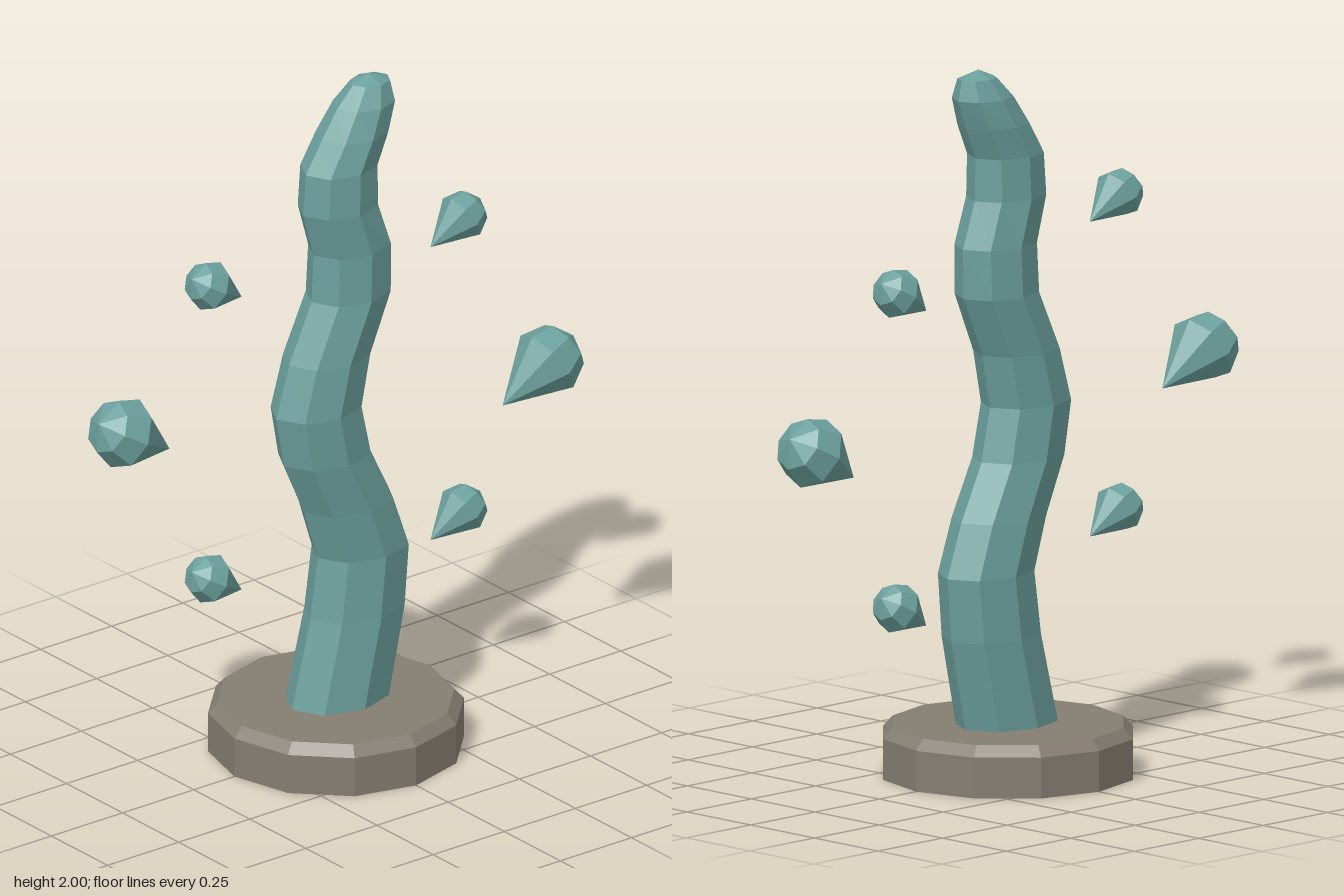
import * as THREE from 'three';

const teal = new THREE.MeshStandardMaterial({ name: 'teal', color: 0x6b9f9c, flatShading: true });
const stone = new THREE.MeshStandardMaterial({ name: 'stone', color: 0x857d72, flatShading: true });

// Faceted solid of revolution from [radius, height] pairs, bottom to top
const lathe = (pairs, sides) =>
  new THREE.LatheGeometry(pairs.map(([r, y]) => new THREE.Vector2(r, y)), sides);

function addMesh(parent, name, geometry, material) {
  const mesh = new THREE.Mesh(geometry, material);
  mesh.name = name;
  parent.add(mesh);
  return mesh;
}

// Winding stem: horizontal oval rings [height, centre x, half width, half depth]
function stemGeometry() {
  const rings = [
    [0.1, -0.005, 0.16, 0.122],
    [0.145, 0.005, 0.16, 0.122],
    [0.4, 0.065, 0.155, 0.119],
    [0.58, 0.085, 0.15, 0.116],
    [0.73, 0.035, 0.147, 0.114],
    [0.89, -0.04, 0.143, 0.111],
    [1.04, -0.07, 0.14, 0.109],
    [1.19, -0.033, 0.132, 0.107],
    [1.36, 0.043, 0.129, 0.104],
    [1.5, 0.048, 0.127, 0.101],
    [1.63, 0.007, 0.122, 0.099],
    [1.75, 0.01, 0.116, 0.096],
    [1.84, 0.057, 0.107, 0.092],
    [1.92, 0.098, 0.094, 0.077],
    [1.977, 0.12, 0.06, 0.049],
    [2.0, 0.115, 0, 0],
  ];
  const geo = lathe(rings.map((r, i) => [r[2] ? 1 : 0, i]), 8);
  const pos = geo.attributes.position;
  for (let i = 0; i < pos.count; i++) {
    const [y, cx, rx, rz] = rings[Math.round(pos.getY(i))];
    pos.setXYZ(i, cx + pos.getX(i) * rx, y, pos.getZ(i) * rz);
  }
  geo.computeVertexNormals();
  return geo;
}

export function createModel() {
  const model = new THREE.Group();
  model.name = 'windingStemWithDroplets';

  // Twelve-sided plinth with a bevelled rim
  addMesh(model, 'base',
    lathe([[0, 0], [0.357, 0], [0.357, 0.115], [0.33, 0.145], [0, 0.145]], 12), stone);

  addMesh(model, 'stem', stemGeometry(), teal);

  // Floating droplets, their points aimed down and inwards
  const drop = lathe([[0, 0], [0.102, 0.18], [0.076, 0.25], [0, 0.287]], 8);
  const spots = [
    // tip distance, tip height, depth, scale
    [0.53, 0.9, 0.07, 1],
    [0.387, 1.37, -0.07, 0.7],
    [0.387, 0.483, -0.07, 0.7],
  ];
  for (const side of [1, -1]) {
    for (const [x, y, z, scale] of spots) {
      const mesh = addMesh(model, side > 0 ? 'leftDroplet' : 'rightDroplet', drop, teal);
      mesh.position.set(side * x, y + (side < 0 ? 0.117 : 0), side * z);
      mesh.rotation.z = -side * Math.PI / 3;
      mesh.scale.setScalar(scale);
    }
  }
  return model;
}
